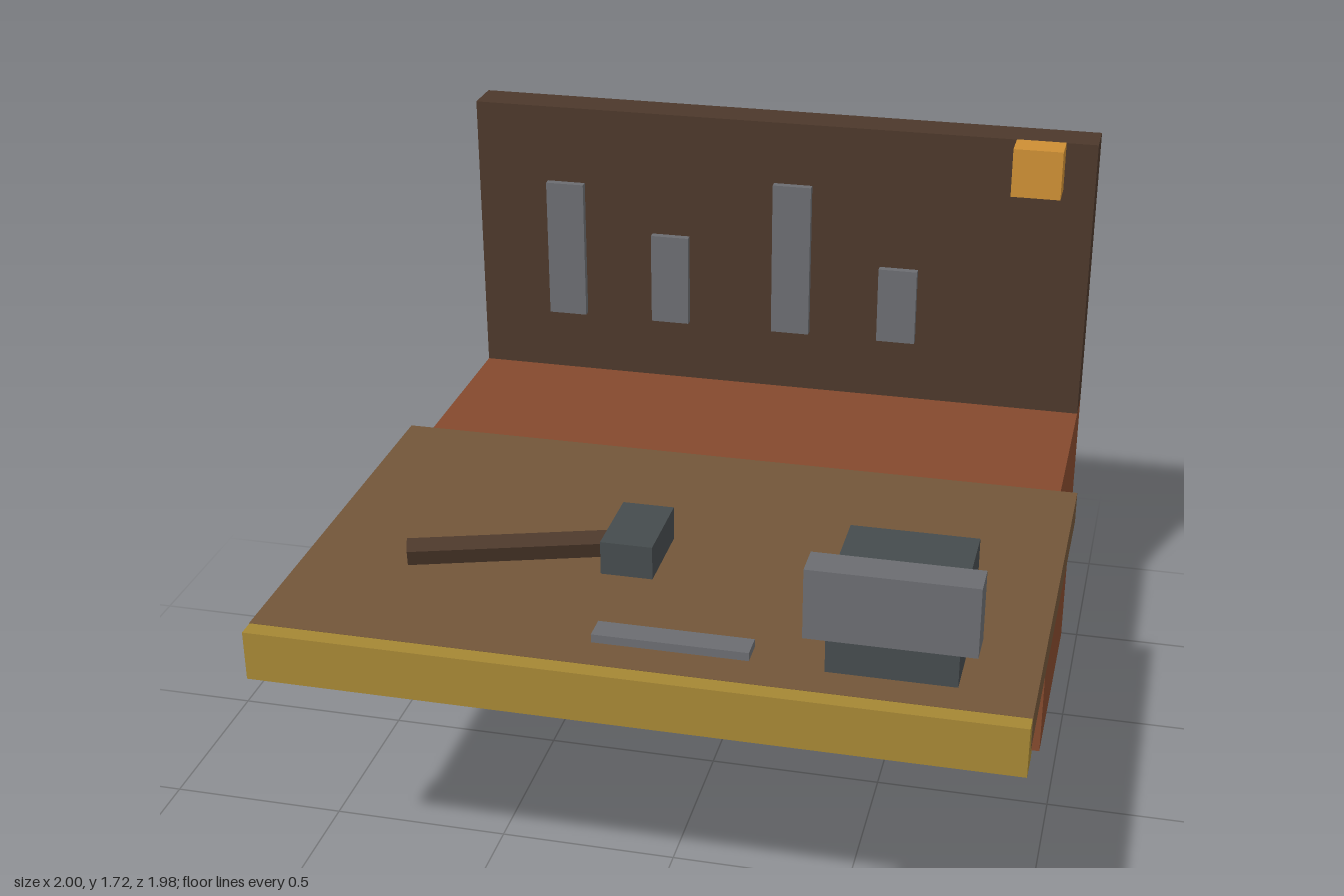
import * as THREE from 'three';

export function createModel() {
  const model = new THREE.Group();
  model.name = 'workbench';

  const paint = (name, color) => {
    const m = new THREE.MeshStandardMaterial({ color });
    m.name = name;
    return m;
  };
  const redWood = paint('redWood', 0x84492d);
  const darkWood = paint('darkWood', 0x4c382b);
  const topWood = paint('topWood', 0x725639);
  const brass = paint('brass', 0xa48634);
  const iron = paint('iron', 0x454b4d);
  const steel = paint('steel', 0x6b6c70);
  const amber = paint('amber', 0xcc8e34);

  const add = (name, geometry, material) => {
    const mesh = new THREE.Mesh(geometry, material);
    mesh.name = name;
    model.add(mesh);
    return mesh;
  };

  // Box given by its limits on each axis
  const box = (name, material, [x0, x1], [y0, y1], [z0, z1]) =>
    add(name, new THREE.BoxGeometry(x1 - x0, y1 - y0, z1 - z0), material)
      .position.set((x0 + x1) / 2, (y0 + y1) / 2, (z0 + z1) / 2);

  // Four-sided bar between two points, rolled about its own axis
  const bar = (name, material, from, to, radius, roll = 0) => {
    const a = new THREE.Vector3(...from);
    const b = new THREE.Vector3(...to);
    const g = new THREE.CylinderGeometry(radius, radius, a.distanceTo(b), 4)
      .rotateX(Math.PI / 2).rotateZ(roll).toNonIndexed();
    g.computeVertexNormals();
    const mesh = add(name, g, material);
    mesh.position.copy(a).add(b).multiplyScalar(0.5);
    mesh.lookAt(b);
  };

  // Cabinet and tool board
  box('cabinet', redWood, [-0.95, 0.95], [0, 0.857], [-0.99, -0.275]);
  box('toolBoard', darkWood, [-0.95, 0.95], [0.857, 1.717], [-0.99, -0.87]);

  // Fold-down worktop with its front trim
  box('worktop', topWood, [-1, 1], [0.79, 0.883], [-0.275, 0.942]);
  box('frontTrim', brass, [-0.999, 0.999], [0.745, 0.882], [0.897, 0.99]);

  // Diagonal struts under the worktop
  for (const [side, x] of [['left', 0.86], ['right', -0.86]]) {
    bar(side + 'Strut', iron, [x, 0.244, -0.28], [x, 0.795, 0.746], 0.0435);
  }

  // Flat tools hanging on the board: left edge and top
  [[-0.728, 1.48], [-0.395, 1.333], [-0.012, 1.527], [0.32, 1.285]].forEach(([x, top], i) =>
    box('hangingTool' + (i + 1), steel, [x, x + 0.118], [1.05, top], [-0.872, -0.847]));

  // Lamp at the corner of the board
  box('lamp', amber, [0.712, 0.857], [1.573, 1.718], [-0.87, -0.777]);

  // Vice
  box('viceBody', iron, [0.477, 0.808], [0.883, 1.12], [0.51, 0.845]);
  box('viceJaw', steel, [0.428, 0.857], [1.0, 1.19], [0.8, 0.893]);

  // Hammer lying on the worktop
  box('hammerHead', iron, [-0.194, -0.052], [0.883, 0.978], [0.25, 0.488]);
  bar('hammerHandle', darkWood, [-0.71, 0.922, 0.556], [-0.12, 0.922, 0.362], 0.036, -0.46);

  // Chisel
  box('chisel', steel, [-0.122, 0.285], [0.883, 0.906], [0.768, 0.838]);

  return model;
}
